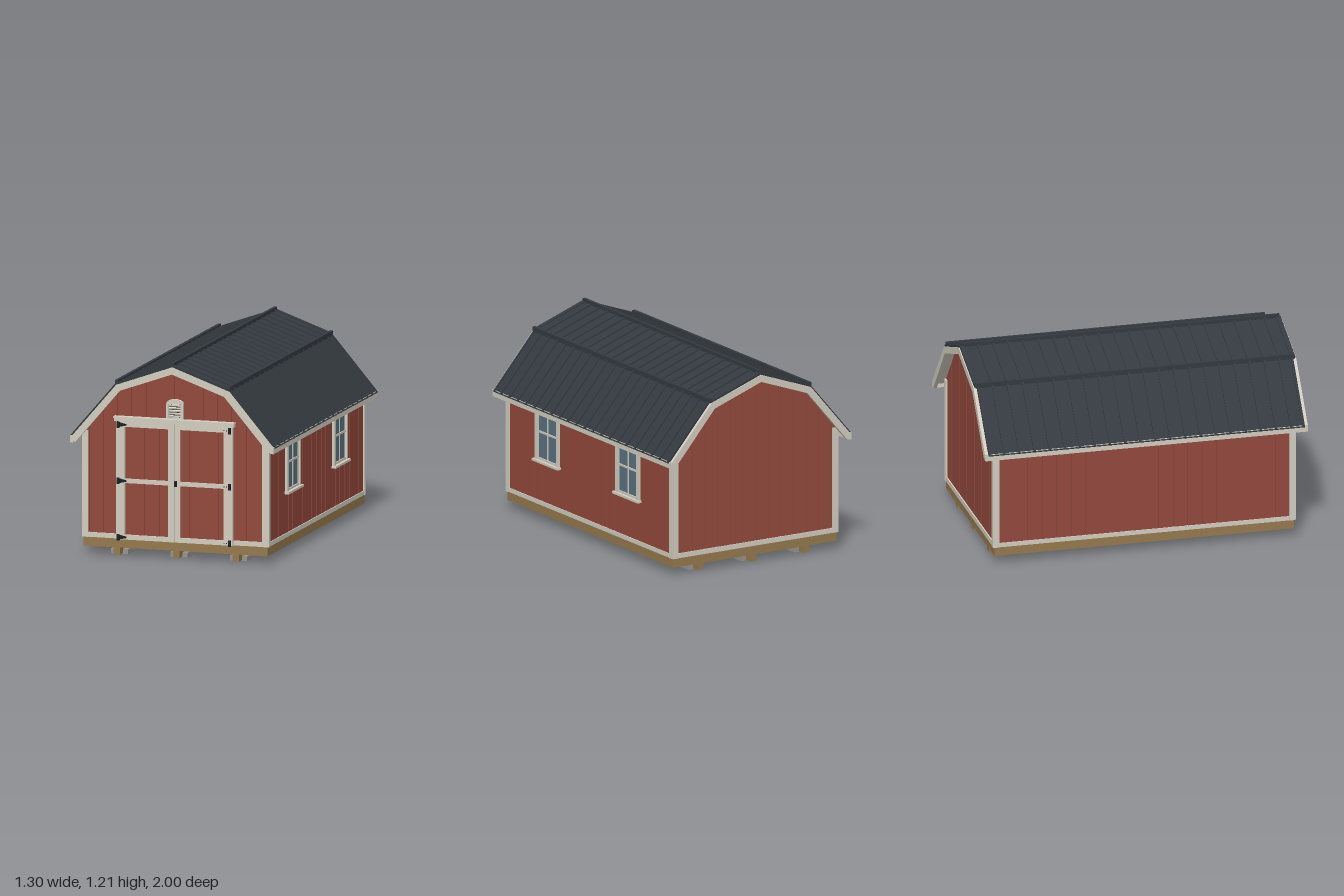
import * as THREE from 'three';

const mat = (name, color, side = THREE.FrontSide) => {
  const m = new THREE.MeshStandardMaterial({ color, side });
  m.name = name;
  return m;
};

export function createModel() {
  const root = new THREE.Group();
  root.name = 'barnShed';
  const red = mat('barnRed', 0x944a3d), trim = mat('trimCream', 0xd3cec0), roofing = mat('roofCharcoal', 0x343a40);
  const wood = mat('treatedWood', 0x967a4e), concrete = mat('concrete', 0x96958f);
  const black = mat('hardwareBlack', 0x1d2023), glass = mat('windowGlass', 0x5a7482);

  const group = (name, parent = root) => {
    const g = new THREE.Group();
    g.name = name;
    parent.add(g);
    return g;
  };
  const add = (parent, name, geometry, material) => {
    const m = new THREE.Mesh(geometry, material);
    m.name = name;
    parent.add(m);
    return m;
  };
  // Box given by its limits on each axis
  const box = (parent, name, material, x0, x1, y0, y1, z0, z1) => {
    const m = add(parent, name, new THREE.BoxGeometry(x1 - x0, y1 - y0, z1 - z0), material);
    m.position.set((x0 + x1) / 2, (y0 + y1) / 2, (z0 + z1) / 2);
    return m;
  };
  // Outline in x, y extruded from z0 to z1
  const prism = (parent, name, material, pts, z0, z1, hole) => {
    const shape = new THREE.Shape(pts.map(p => new THREE.Vector2(...p)));
    if (hole) shape.holes.push(new THREE.Path(hole.map(p => new THREE.Vector2(...p))));
    const g = new THREE.ExtrudeGeometry(shape, { depth: z1 - z0, bevelEnabled: false });
    g.translate(0, 0, z0);
    return add(parent, name, g, material);
  };

  // Gambrel half profile, offset outward by d: ridge, break, eave
  const profile = d => [[0, 1.178 + d * 1.066], [0.352 + d * 0.587, 1.052 + d * 0.849], [0.64 + d * 0.76, 0.715 + d * 0.65]];
  const mirrorX = pts => pts.map(([x, y]) => [-x, y]);
  const band = (parent, name, material, d0, d1, z0, z1, from = 0, to = 3) => {
    const half = [...profile(d1).slice(from, to), ...profile(d0).slice(from, to).reverse()];
    prism(parent, name, material, half, z0, z1);
    prism(parent, name, material, mirrorX(half), z0, z1);
  };
  const topY = x => {
    const [a, b, c] = profile(-0.02), ax = Math.abs(x);
    const [p, q] = ax < b[0] ? [a, b] : [b, c];
    return p[1] + (q[1] - p[1]) * (ax - p[0]) / (q[0] - p[0]);
  };

  // Foundation: floor frame, skids and blocks
  const base = group('foundation');
  box(base, 'floorFrame', wood, -0.58, 0.58, 0.05, 0.106, -0.925, 0.925);
  for (const x of [-0.375, 0, 0.375]) {
    box(base, 'skid', wood, x - 0.021, x + 0.021, 0.005, 0.05, -0.912, 0.912);
    for (const z of [-0.8, 0, 0.8]) box(base, 'block', concrete, x - 0.054, x + 0.054, 0, 0.03, z - 0.06, z + 0.06);
  }

  // Wall core with grooved siding boards laid over it
  const walls = group('walls');
  const breakX = profile(-0.02)[1][0];
  const gable = (x0, x1) => {
    const mids = [breakX, 0, -breakX].filter(x => x > x0 && x < x1);
    return [[x0, 0.106], [x1, 0.106], ...[x1, ...mids, x0].map(x => [x, topY(x)])];
  };
  prism(walls, 'wallCore', red, gable(-0.574, 0.574), -0.918, 0.918);
  const pitch = 0.09, groove = 0.007;
  for (let i = -7; i < 7; i++) {
    const x0 = Math.max(i * pitch, -0.574), x1 = Math.min((i + 1) * pitch - groove, 0.574);
    if (x1 <= x0) continue;
    prism(walls, 'frontBoard', red, gable(x0, x1), 0.917, 0.925);
    prism(walls, 'backBoard', red, gable(x0, x1), -0.925, -0.917);
  }
  for (let i = -11; i < 11; i++) {
    const z0 = Math.max(i * pitch, -0.92), z1 = Math.min((i + 1) * pitch - groove, 0.92);
    if (z1 <= z0) continue;
    for (const s of [-1, 1]) box(walls, 'sideBoard', red, s * 0.577 - 0.004, s * 0.577 + 0.004, 0.106, 0.765, z0, z1);
  }

  // Corner posts and base trim
  const trims = group('wallTrim');
  for (const s of [-1, 1]) {
    for (const e of [-1, 1]) {
      const post = (name, cx, w, cz, d, y1) => box(trims, name, trim, s * cx - w / 2, s * cx + w / 2, 0.106, y1, e * cz - d / 2, e * cz + d / 2);
      post('cornerPostFace', 0.567, 0.036, 0.926, 0.02, 0.755);
      post('cornerPostSide', 0.582, 0.016, 0.914, 0.032, 0.752);
    }
    box(trims, 'sideBaseTrim', trim, s * 0.582 - 0.005, s * 0.582 + 0.005, 0.106, 0.132, -0.9, 0.9);
    box(trims, 'gableBaseTrim', trim, -0.55, 0.55, 0.106, 0.135, s * 0.926 - 0.007, s * 0.926 + 0.007);
  }

  // Roof: deck, metal sheets, ribs, caps, rake boards and fascia
  const roof = group('roof');
  band(roof, 'roofDeck', trim, -0.018, 0, -0.977, 0.977);
  band(roof, 'roofSheet', roofing, 0, 0.007, -0.978, 0.978);
  band(roof, 'upperRoofEdge', roofing, 0.001, 0.013, -0.992, -0.968, 0, 2);
  band(roof, 'upperRoofEdge', roofing, 0.001, 0.013, 0.968, 0.992, 0, 2);
  for (let i = 0; i < 20; i++) {
    const z = (i - 9.5) * 0.0933 + 0.006;
    band(roof, 'roofRib', roofing, 0.005, 0.015, z - 0.006, z + 0.006);
  }
  for (const e of [-1, 1]) {
    band(roof, 'edgeRib', roofing, 0.005, 0.013, e * 0.97 - 0.007, e * 0.97 + 0.007);
    band(roof, 'rakeBoard', trim, -0.04, 0.001, e * 0.987 - 0.011, e * 0.987 + 0.011);
  }
  box(roof, 'ridgeCap', roofing, -0.009, 0.009, 1.178, 1.205, -0.985, 0.985);
  for (const s of [-1, 1]) {
    box(roof, 'breakCap', roofing, s * 0.353 - 0.01, s * 0.353 + 0.01, 1.05, 1.08, -0.985, 0.985);
    box(roof, 'eaveFascia', trim, s * 0.63 - 0.011, s * 0.63 + 0.011, 0.687, 0.728, -0.997, 0.997);
  }

  // Double doors
  const doors = group('doubleDoors');
  for (const s of [-1, 1]) {
    const leaf = group(s > 0 ? 'leftDoor' : 'rightDoor', doors);
    const part = (name, m, a, b, y0, y1, z0, z1) => box(leaf, name, m, Math.min(s * a, s * b), Math.max(s * a, s * b), y0, y1, z0, z1);
    part('doorCore', red, 0.002, 0.365, 0.106, 0.825, 0.924, 0.935);
    for (let i = 0; i < 4; i++) part('doorBoard', red, 0.01 + i * 0.09, Math.min(0.093 + i * 0.09, 0.36), 0.11, 0.82, 0.934, 0.941);
    part('innerStile', trim, 0.0015, 0.037, 0.106, 0.825, 0.935, 0.955);
    part('outerStile', trim, 0.312, 0.367, 0.106, 0.825, 0.935, 0.955);
    for (const [y0, y1] of [[0.106, 0.135], [0.45, 0.476], [0.792, 0.825]]) part('rail', trim, 0.037, 0.312, y0, y1, 0.935, 0.953);
    // Hinges: tapered strap, knuckle plate and screws
    for (const y of [0.12, 0.463, 0.805]) {
      part('hingePlate', black, 0.343, 0.358, y - 0.019, y + 0.019, 0.953, 0.966);
      if (s < 0) prism(leaf, 'hingeStrap', black, [[-0.345, y - 0.014], [-0.3, y - 0.004], [-0.3, y + 0.004], [-0.345, y + 0.014]], 0.954, 0.959);
      else for (const x of [0.314, 0.331]) part('hingeScrew', black, x - 0.0025, x + 0.0025, y - 0.0025, y + 0.0025, 0.954, 0.957);
    }
  }
  box(doors, 'doorHeader', trim, -0.377, 0.377, 0.826, 0.85, 0.924, 0.962);
  box(doors, 'headerCap', trim, -0.381, 0.381, 0.846, 0.854, 0.924, 0.968);
  box(doors, 'handlePlate', black, 0.003, 0.018, 0.446, 0.48, 0.954, 0.963);
  box(doors, 'handleGrip', black, 0.006, 0.016, 0.458, 0.474, 0.96, 0.978);

  // Arched gable vent with louvres
  const vent = group('gableVent');
  const arch = [[-0.053, 0.855], [0.053, 0.855]];
  for (let i = 0; i <= 10; i++) {
    const a = i / 10 * Math.PI;
    arch.push([0.053 * Math.cos(a), 0.948 + 0.027 * Math.sin(a)]);
  }
  prism(vent, 'ventFrame', trim, arch, 0.924, 0.945, [[-0.038, 0.862], [-0.038, 0.945], [0.038, 0.945], [0.038, 0.862]]);
  box(vent, 'ventBack', black, -0.04, 0.04, 0.86, 0.947, 0.922, 0.928);
  for (let i = 0; i < 5; i++) {
    const y = 0.87 + i * 0.0165;
    const slat = box(vent, 'louvre', trim, -0.038, 0.038, y - 0.004, y + 0.004, 0.928, 0.94);
    slat.rotation.x = 0.3;
  }

  // Two windows on the left wall
  for (const z of [0.465, -0.433]) {
    const win = group('window');
    const w = (name, m, x1, y0, y1, a, b) => box(win, name, m, 0.576, x1, y0, y1, z + a, z + b);
    w('pane', glass, 0.584, 0.39, 0.73, -0.12, 0.12);
    for (const s of [-1, 1]) {
      w('jamb', trim, 0.597, 0.385, 0.735, s * 0.118 - 0.011, s * 0.118 + 0.011);
      w('sashStile', trim, 0.589, 0.39, 0.73, s * 0.105 - 0.004, s * 0.105 + 0.004);
    }
    w('headTrim', trim, 0.597, 0.705, 0.736, -0.129, 0.129);
    w('bottomRail', trim, 0.591, 0.385, 0.4, -0.108, 0.108);
    w('verticalMuntin', trim, 0.588, 0.39, 0.72, -0.005, 0.005);
    w('meetingRail', trim, 0.59, 0.554, 0.566, -0.108, 0.108);
    w('sill', trim, 0.611, 0.373, 0.387, -0.143, 0.143);
  }
  return root;
}
